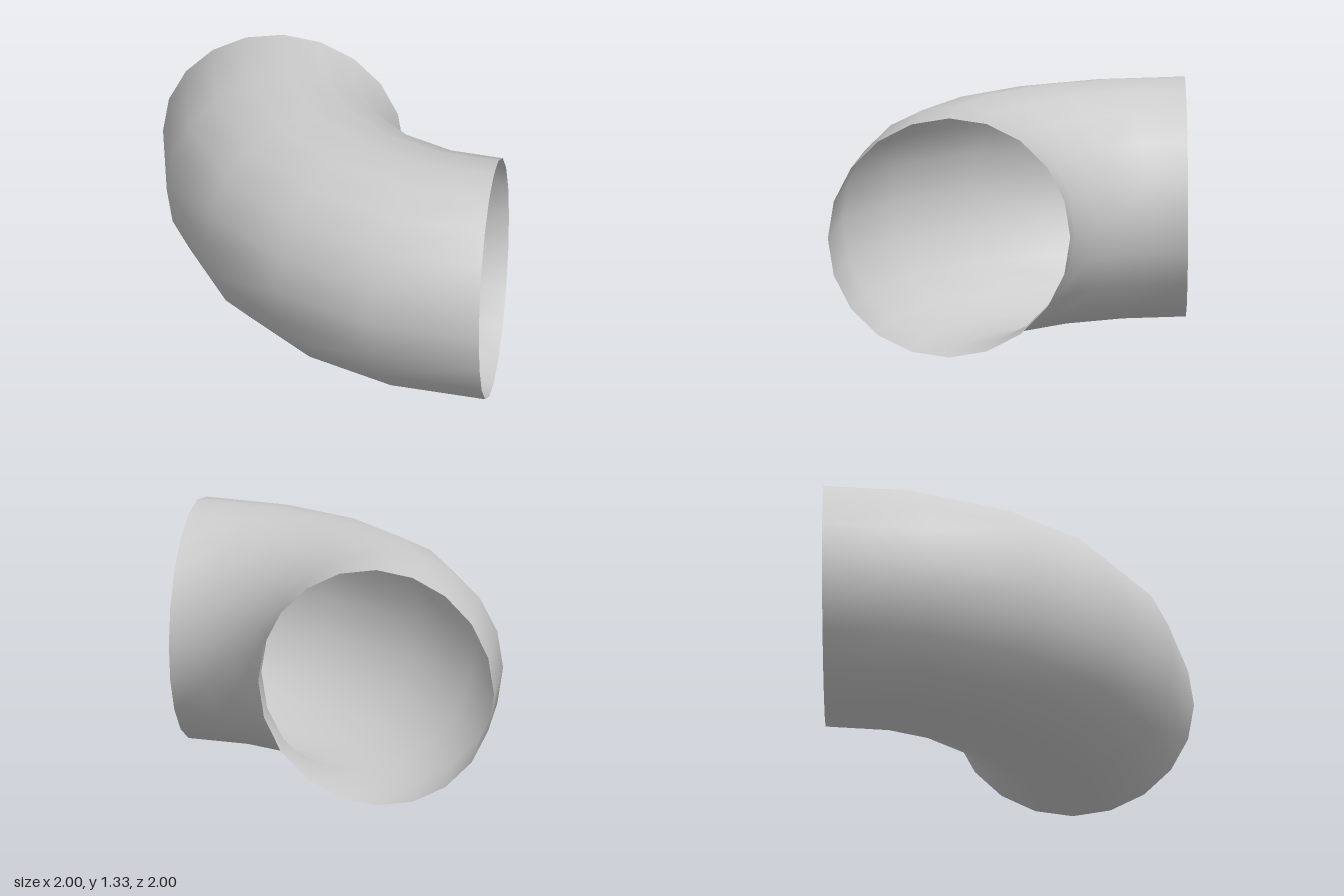
import * as THREE from 'three';

export function createModel() {
  const model = new THREE.Group();
  const bendRadius = 4 / 3;
  const pipeRadius = 2 / 3;

  // Open quarter-turn pipe: 20 sides around, 5 segments along the bend
  const geometry = new THREE.TorusGeometry(bendRadius, pipeRadius, 20, 5, Math.PI / 2);
  geometry.rotateX(Math.PI / 2); // lay the bend flat
  geometry.rotateY(-Math.PI / 2); // ends open toward +x and -z

  const material = new THREE.MeshStandardMaterial({ color: 0xcccccc, side: THREE.DoubleSide });
  const pipe = new THREE.Mesh(geometry, material);
  pipe.name = 'pipeElbow';
  pipe.position.set(1, pipeRadius, -1);
  model.add(pipe);

  return model;
}
